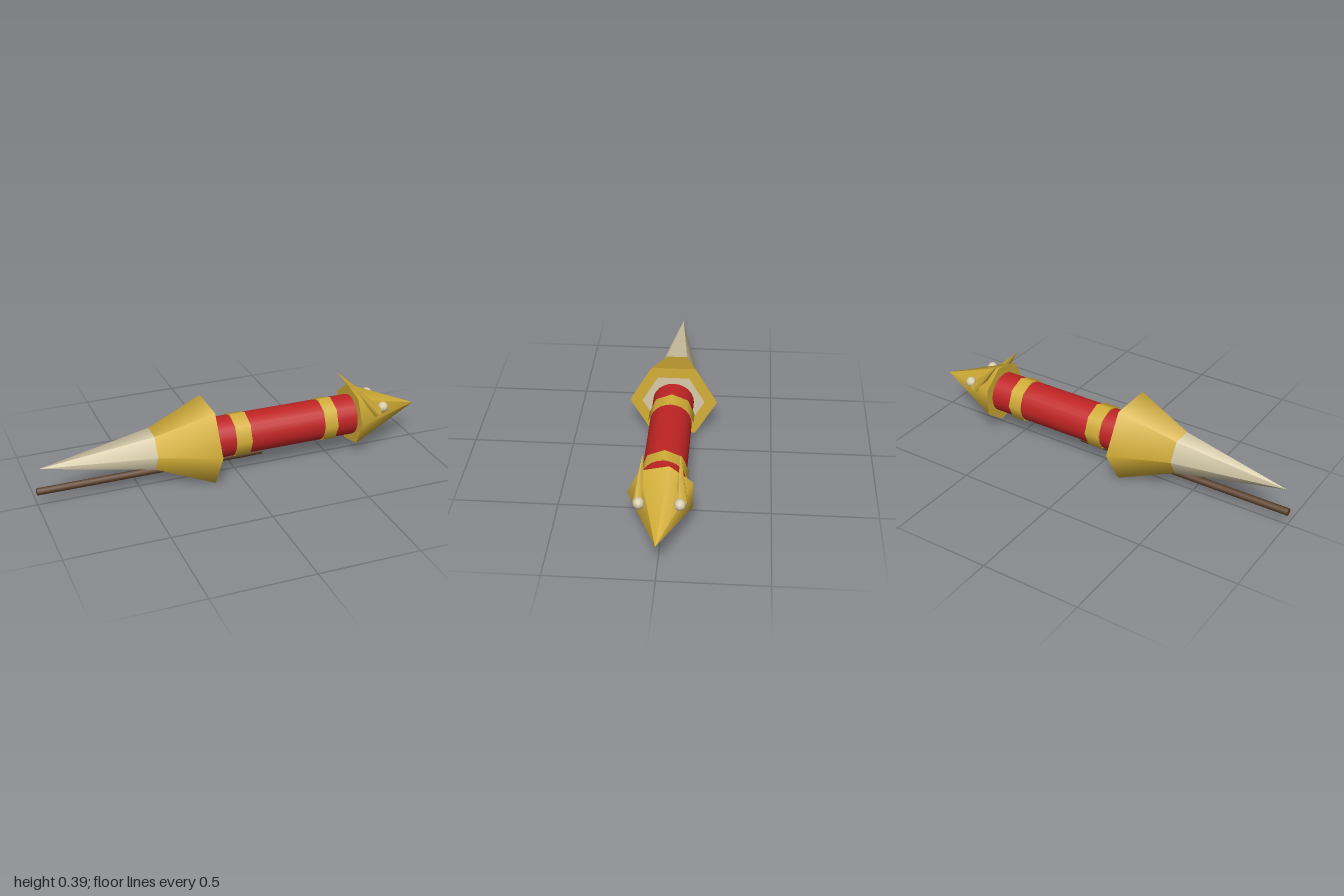
import * as THREE from 'three';

const mat = (name, color) => {
  const m = new THREE.MeshStandardMaterial({ color });
  m.name = name;
  return m;
};

export function createModel() {
  const gold = mat('gold', 0xd4af37);
  const red = mat('red', 0xc02424);
  const cream = mat('cream', 0xd8ccaa);
  const brown = mat('brown', 0x5c4029);
  const group = new THREE.Group();
  group.name = 'rocket';
  const axisY = 0.192;

  const add = (name, geometry, material) => {
    const mesh = new THREE.Mesh(geometry, material);
    mesh.name = name;
    group.add(mesh);
    return mesh;
  };

  // Tapered solid running from a to b, with its own radius at each end
  const rod = (name, a, b, ra, rb, sides, material) => {
    const from = new THREE.Vector3(...a), to = new THREE.Vector3(...b);
    const dir = to.clone().sub(from);
    const mesh = add(name, new THREE.CylinderGeometry(rb, ra, dir.length(), sides), material);
    mesh.position.copy(from).add(to).multiplyScalar(0.5);
    mesh.quaternion.setFromUnitVectors(new THREE.Vector3(0, 1, 0), dir.normalize());
    return mesh;
  };
  const along = (name, x0, x1, r0, r1, sides, material, y = axisY) =>
    rod(name, [x0, y, 0], [x1, y, 0], r0, r1, sides, material);

  // Body tube and its raised bands
  along('body', -0.16, 0.65, 0.103, 0.103, 24, red);
  along('rearBand', -0.025, 0.055, 0.112, 0.112, 8, gold);
  along('frontBand', 0.45, 0.52, 0.112, 0.112, 8, gold);

  // Tail: long pale spike inside a flared hexagonal cone
  along('tailSpike', -0.138, -0.98, 0.157, 0, 6, cream);
  along('tailFlare', -0.14, -0.68, 0.22, 0, 6, gold);

  // Guide stick under the body
  along('stick', -1, 0.145, 0.018, 0.018, 8, brown, 0.072);

  // Seven-sided head
  along('head', 0.63, 1, 0.157, 0, 7, gold);

  // Eyes and swept-back horns
  for (const [side, s] of [['left', -1], ['right', 1]]) {
    const eye = add(side + 'Eye', new THREE.SphereGeometry(0.028, 8, 6), cream);
    eye.position.set(0.775, 0.246, s * 0.091);
    rod(side + 'Horn', [0.745, 0.222, s * 0.097], [0.6, 0.393, s * 0.084], 0.03, 0, 5, gold);
  }
  return group;
}
